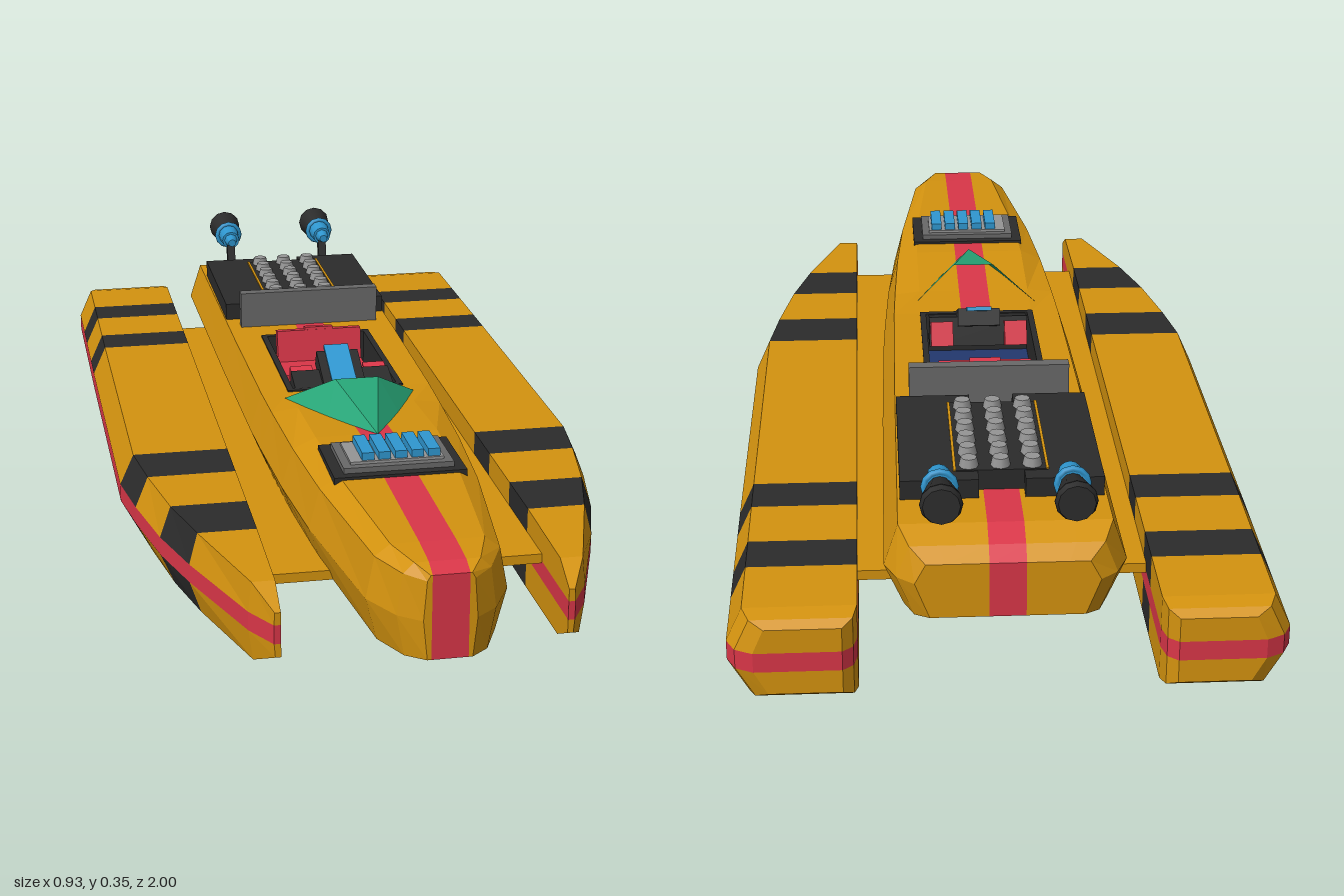
import * as THREE from 'three';

const mat = (name, color, opts = {}) => new THREE.MeshStandardMaterial({ name, color, ...opts });
const yellow = mat('yellow', 0xd4930f);
const red = mat('red', 0xd93648);
const black = mat('black', 0x2b2b2b);
const grey = mat('grey', 0x696969);
const lightGrey = mat('lightGrey', 0x959595);
const blue = mat('blue', 0x2f97d0);
const navy = mat('navy', 0x22386e);
const green = mat('green', 0x27a577, { side: THREE.DoubleSide });

// Flat-faced mesh from a list of { pts, m } polygons; flip mirrors it in x
function polyMesh(name, polys, flip = false) {
  const mats = [...new Set(polys.map(p => p.m))];
  const pos = [];
  const geo = new THREE.BufferGeometry();
  mats.forEach((m, k) => {
    const start = pos.length / 3;
    for (const { pts } of polys.filter(p => p.m === m)) {
      const q = flip ? pts.map(([x, y, z]) => [-x, y, z]).reverse() : pts;
      for (let i = 1; i < q.length - 1; i++) pos.push(...q[0], ...q[i], ...q[i + 1]);
    }
    geo.addGroup(start, pos.length / 3 - start, k);
  });
  geo.setAttribute('position', new THREE.Float32BufferAttribute(pos, 3));
  geo.computeVertexNormals();
  const mesh = new THREE.Mesh(geo, mats);
  mesh.name = name;
  return mesh;
}

// Skin rings (ordered back to front, anticlockwise from the front) and close both ends
function loft(rings, pick, caps) {
  const polys = [];
  const n = rings[0].length;
  for (let i = 0; i < rings.length - 1; i++) {
    const [a, b] = [rings[i], rings[i + 1]];
    for (let j = 0; j < n; j++) {
      const k = (j + 1) % n, m = pick(i, j);
      if (m) polys.push({ pts: [a[j], a[k], b[k], b[j]], m });
    }
  }
  for (const { ids, m } of caps) {
    polys.push({ pts: ids.map(i => rings[rings.length - 1][i]), m });
    polys.push({ pts: ids.map(i => rings[0][i]).reverse(), m });
  }
  return polys;
}

function makeHull() {
  // z, half width, deck edge height, deck centre height, bottom
  const secs = [
    [-0.91, 0.155, 0.2, 0.2, 0.1], [-0.885, 0.185, 0.222, 0.222, 0.093], [-0.84, 0.205, 0.24, 0.24, 0.09],
    [-0.27, 0.2, 0.24, 0.24, 0.09], [0.09, 0.194, 0.24, 0.24, 0.09], [0.2, 0.19, 0.24, 0.246, 0.09],
    [0.4, 0.18, 0.24, 0.26, 0.09], [0.6, 0.163, 0.24, 0.26, 0.09], [0.9, 0.12, 0.24, 0.26, 0.09],
    [0.97, 0.083, 0.238, 0.256, 0.092], [1, 0.045, 0.235, 0.245, 0.095],
  ];
  const rings = secs.map(([z, w, t, c, b]) => {
    const wt = w * 0.88;
    const xi = Math.max(0.034, Math.min(0.115, wt * 0.75));
    const half = [[0.031, b, z], [w * 0.84, b, z], [w, 0.165, z], [wt, t, z], [xi, c, z], [0.031, c, z]];
    return [...half, ...half.map(([x, y]) => [-x, y, z]).reverse()];
  });
  // the deck is left open over the cockpit (slice 3)
  const pick = (i, j) => (i === 3 && j >= 4 && j <= 6 ? null : j === 5 || j === 11 ? red : yellow);
  return polyMesh('hull', loft(rings, pick, [
    { ids: [0, 1, 2, 3, 4, 5], m: yellow }, { ids: [6, 7, 8, 9, 10, 11], m: yellow }, { ids: [0, 5, 6, 11], m: red },
  ]));
}

function makePontoon(side) {
  // z, inner x, outer x, bottom, top
  const keys = [
    [-1, 0.275, 0.42, 0.018, 0.138], [-0.985, 0.257, 0.45, 0.007, 0.149], [-0.955, 0.25, 0.465, 0, 0.155],
    [0.16, 0.25, 0.462, 0, 0.155], [0.28, 0.25, 0.443, 0, 0.155], [0.43, 0.25, 0.412, 0, 0.155],
    [0.56, 0.25, 0.373, 0, 0.155], [0.77, 0.25, 0.297, 0.004, 0.15], [0.83, 0.25, 0.262, 0.035, 0.118],
  ];
  const bands = [[-0.82, -0.73], [-0.6, -0.51], [0.16, 0.28], [0.43, 0.56]];
  // the straight run is cut where the rear bands begin and end
  const cuts = bands.slice(0, 2).flat().map(z => [z, 0.25, 0.465, 0, 0.155]);
  const secs = [...keys, ...cuts].sort((a, b) => a[0] - b[0]);
  const rings = secs.map(([z, xi, xo, b, t]) => {
    const d = (xo - xi) * 0.16;
    return [[xi, b, z], [xo - d, b, z], [xo, 0.06, z], [xo, 0.095, z],
      [xo - d * 0.8, t, z], [xi, t, z], [xi, 0.095, z], [xi, 0.06, z]];
  });
  const pick = (i, j) => {
    if (j === 2 || j === 6) return red;
    const mid = (secs[i][0] + secs[i + 1][0]) / 2;
    return bands.some(([a, b]) => mid > a && mid < b) ? black : yellow;
  };
  return polyMesh(side > 0 ? 'leftPontoon' : 'rightPontoon', loft(rings, pick, [
    { ids: [0, 1, 2, 7], m: yellow }, { ids: [7, 2, 3, 6], m: red }, { ids: [6, 3, 4, 5], m: yellow },
  ]), side < 0);
}

export function createModel() {
  const model = new THREE.Group();
  model.name = 'catamaranSpeedboat';
  const add = (name, geo, m, x, y, z, rx = 0, parent = model) => {
    const mesh = new THREE.Mesh(geo, m);
    mesh.name = name;
    mesh.position.set(x, y, z);
    mesh.rotation.x = rx;
    parent.add(mesh);
    return mesh;
  };
  const box = (name, m, w, h, d, x, y, z, rx = 0, parent = model) =>
    add(name, new THREE.BoxGeometry(w, h, d), m, x, y, z, rx, parent);

  // Floats and the wing plates joining them to the hull
  model.add(makeHull());
  for (const s of [1, -1]) {
    model.add(makePontoon(s));
    box('wingPlate', yellow, 0.13, 0.018, 1.42, s * 0.19, 0.1, -0.05);
  }

  // Cockpit tub
  box('cockpitFloor', navy, 0.23, 0.01, 0.36, 0, 0.155, -0.09);
  for (const s of [1, -1]) box('cockpitSide', black, 0.012, 0.092, 0.36, s * 0.111, 0.197, -0.09);
  box('cockpitRear', black, 0.23, 0.092, 0.012, 0, 0.197, -0.265);
  box('cockpitFront', black, 0.23, 0.092, 0.012, 0, 0.197, 0.085);

  // Seat
  box('seatCushion', red, 0.18, 0.03, 0.1, 0, 0.185, -0.17);
  box('seatBack', red, 0.18, 0.1, 0.022, 0, 0.215, -0.222, -0.15);
  box('headrest', red, 0.06, 0.03, 0.02, 0, 0.255, -0.228, -0.15);

  // Dashboard with screen and side levers
  box('dashboard', black, 0.2, 0.06, 0.07, 0, 0.22, 0.045, 0.3);
  box('console', black, 0.085, 0.035, 0.11, 0, 0.25, 0.035, 0.42);
  box('screen', blue, 0.05, 0.008, 0.115, 0, 0.27, 0.03, 0.42);
  for (const s of [1, -1]) box('lever', red, 0.045, 0.05, 0.035, s * 0.075, 0.23, 0, 0.4);

  // Faceted windscreen
  const tip = [0, 0.262, 0.41], pl = [0.042, 0.302, 0.205], pr = [-0.042, 0.302, 0.205];
  const cl = [0.13, 0.242, 0.13], cr = [-0.13, 0.242, 0.13];
  const footL = [0.07, 0.25, 0.27], footR = [-0.07, 0.25, 0.27];
  model.add(polyMesh('windscreen', [
    [pr, tip, pl], [pl, tip, footL], [pl, footL, cl], [pr, footR, tip], [pr, cr, footR],
  ].map(pts => ({ pts, m: green }))));

  // Bow air intake
  box('intakeBase', black, 0.24, 0.02, 0.165, 0, 0.255, 0.535);
  box('intakeFrame', grey, 0.2, 0.02, 0.13, 0, 0.265, 0.535);
  box('intakeGrille', lightGrey, 0.17, 0.006, 0.1, 0, 0.277, 0.535);
  for (let i = 0; i < 5; i++) box('intakeBar', blue, 0.022, 0.018, 0.09, -0.052 + i * 0.03, 0.285, 0.535);

  // Rear wind deflector
  box('deflector', grey, 0.3, 0.08, 0.024, 0, 0.276, -0.353);

  // Engine cover with rows of studs
  for (const s of [1, -1]) box('engineSide', black, 0.135, 0.038, 0.35, s * 0.1075, 0.256, -0.577);
  box('enginePanel', black, 0.16, 0.04, 0.28, 0, 0.257, -0.58);
  for (const s of [1, -1]) box('panelTrim', yellow, 0.005, 0.003, 0.28, s * 0.08, 0.277, -0.58);
  const stud = new THREE.CylinderGeometry(0.014, 0.018, 0.018, 8);
  for (let i = 0; i < 18; i++) {
    add('stud', stud, lightGrey, ((i % 3) - 1) * 0.055, 0.284, -0.7 + Math.floor(i / 3) * 0.048);
  }

  // Twin thrusters on struts, nozzles opening backwards
  const bell = new THREE.CylinderGeometry(0.036, 0.02, 0.07, 12);
  const rim = new THREE.CylinderGeometry(0.031, 0.036, 0.012, 12);
  const body = new THREE.CylinderGeometry(0.024, 0.02, 0.05, 12);
  const collar = new THREE.TorusGeometry(0.026, 0.006, 6, 12);
  const nose = new THREE.CylinderGeometry(0.016, 0.009, 0.025, 8);
  for (const s of [1, -1]) {
    const thruster = new THREE.Group();
    thruster.name = s > 0 ? 'leftThruster' : 'rightThruster';
    thruster.position.set(s * 0.11, 0.311, -0.845);
    const back = -Math.PI / 2 + 0.06;
    add('nozzle', bell, black, 0, 0.001, -0.035, back, thruster);
    add('nozzleRim', rim, black, 0, 0.003, -0.075, back, thruster);
    add('thrusterBody', body, blue, 0, 0, 0.02, back, thruster);
    add('collar', collar, blue, 0, 0, 0, 0.06, thruster);
    add('thrusterNose', nose, blue, 0, -0.002, 0.055, back, thruster);
    box('strut', black, 0.018, 0.085, 0.018, 0, -0.038, 0.042, -0.25, thruster);
    model.add(thruster);
  }
  return model;
}
